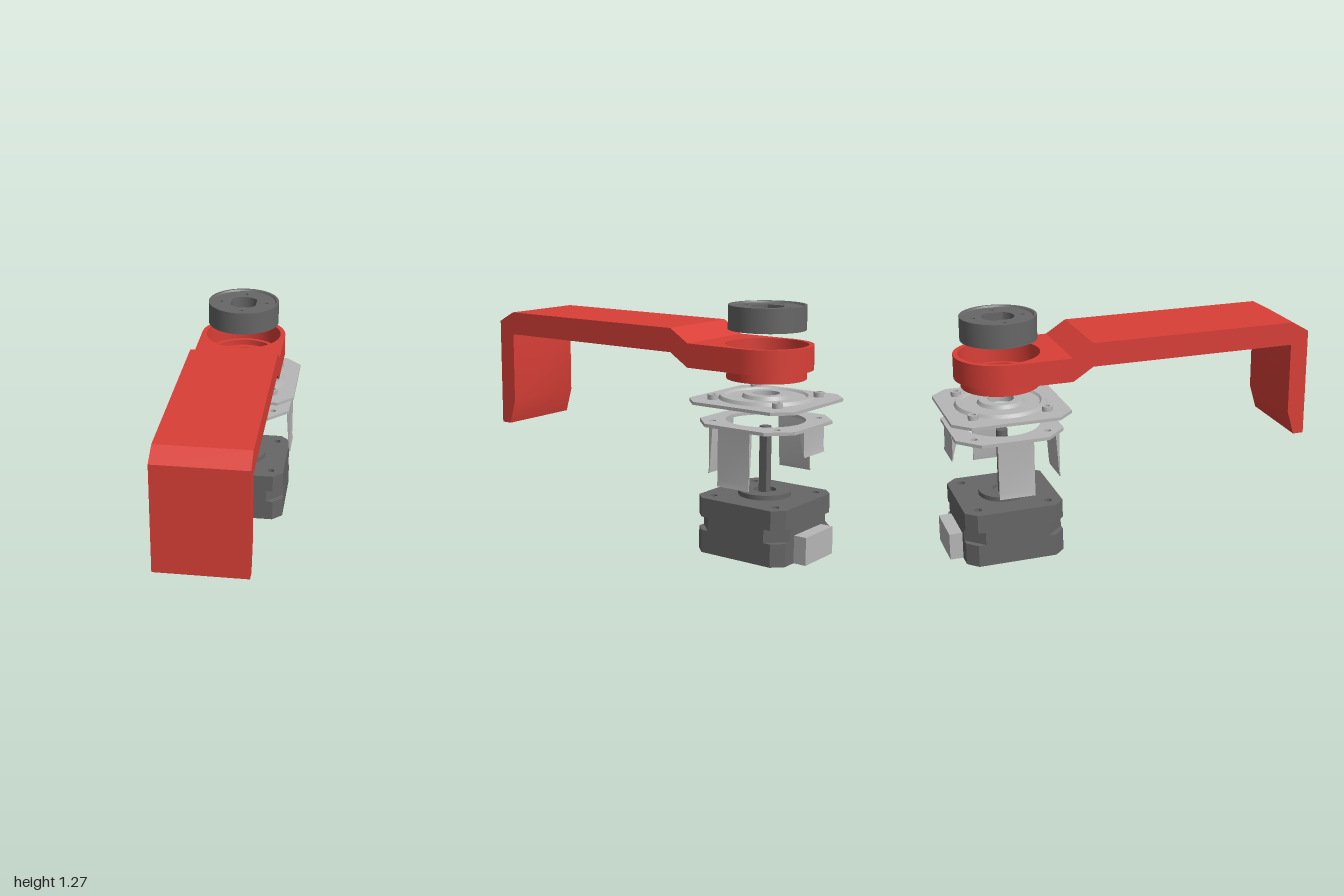
import * as THREE from 'three';
import { toCreasedNormals } from 'three/addons/utils/BufferGeometryUtils.js';

const material = (name, color) => {
  const m = new THREE.MeshStandardMaterial({ color });
  m.name = name;
  return m;
};

export function createModel() {
  const red = material('red', 0xd93f37);
  const dark = material('dark grey', 0x666666);
  const light = material('light grey', 0xb6b6b6);

  const model = new THREE.Group();
  model.name = 'motorMountAssembly';
  const stack = new THREE.Group(); // everything sharing the motor axis
  stack.name = 'motorStack';
  stack.position.z = -0.665;
  model.add(stack);

  const add = (parent, name, geometry, mat) => {
    const mesh = new THREE.Mesh(toCreasedNormals(geometry, 0.5), mat);
    mesh.name = name;
    parent.add(mesh);
    return mesh;
  };
  const circle = (r, x = 0, y = 0) => new THREE.Path().absarc(x, y, r, 0, Math.PI * 2, true);
  const corners = (d, r) => [[1, 1], [-1, 1], [-1, -1], [1, -1]].map(([a, b]) => circle(r, a * d, b * d));
  // Square with cut corners
  const octagon = (h, c, holes = []) => {
    const s = new THREE.Shape([
      [h, c - h], [h, h - c], [h - c, h], [c - h, h],
      [-h, h - c], [-h, c - h], [c - h, -h], [h - c, -h],
    ].map(([x, y]) => new THREE.Vector2(x, y)));
    s.holes.push(...holes);
    return s;
  };
  // Plan shape raised from y0 to y1
  const slab = (name, shape, y0, y1, mat) => add(stack, name,
    new THREE.ExtrudeGeometry(shape, { depth: y1 - y0, bevelEnabled: false, curveSegments: 32 })
      .rotateX(-Math.PI / 2).translate(0, y0, 0), mat);
  const lathe = (name, pts, mat, seg = 64) => add(stack, name,
    new THREE.LatheGeometry(pts.map(([r, y]) => new THREE.Vector2(r, y)), seg), mat);
  const sideProfile = (pts, width) => new THREE.ExtrudeGeometry(
    new THREE.Shape(pts.map(([x, y]) => new THREE.Vector2(x, y))),
    { depth: width, bevelEnabled: false }).translate(0, 0, -width / 2);

  // Motor body: two end blocks and a waist with deeper corner cuts
  slab('motorBase', octagon(0.265, 0.055, [...corners(0.19, 0.03), circle(0.05)]), 0, 0.12, dark);
  slab('motorWaist', octagon(0.265, 0.095), 0.12, 0.19, dark);
  slab('motorTop', octagon(0.265, 0.055, corners(0.19, 0.02)), 0.19, 0.29, dark);
  lathe('motorBoss', [[0.06, 0.29], [0.137, 0.29], [0.137, 0.315], [0.06, 0.315], [0.06, 0.295], [0, 0.295]], dark);

  // D-shaped shaft
  const shaft = new THREE.Shape();
  shaft.absarc(0, 0, 0.031, 0.8, Math.PI * 2 - 0.8, false);
  shaft.closePath();
  slab('shaft', shaft, 0.29, 0.65, dark);

  // Cable connector
  const connector = add(stack, 'connector', new THREE.BoxGeometry(0.26, 0.145, 0.07), light);
  connector.position.set(0, 0.0725, -0.3);

  // Sheet bracket with four folded legs, the rear one short
  slab('bracketPlate', octagon(0.288, 0.11, [...corners(0.195, 0.018), circle(0.205)]), 0.668, 0.685, light);
  for (let i = 0; i < 4; i++) {
    const rear = i === 1;
    const end = rear ? 0.54 : 0.375;
    const leg = add(stack, rear ? 'rearBracketLeg' : 'bracketLeg', sideProfile([
      [0.268, 0.685], [0.268, 0.63], [0.284, end + 0.03], [0.288, end],
      [0.294, end], [0.289, end + 0.03], [0.289, 0.685],
    ], 0.19), light);
    leg.rotation.y = i * Math.PI / 2;
  }

  // Adapter plate with a raised disc and corner screws
  slab('adapterPlate', octagon(0.317, 0.085, [circle(0.07), ...corners(0.195, 0.016)]), 0.78, 0.796, light);
  lathe('adapterDisc', [
    [0.07, 0.796], [0.245, 0.796], [0.235, 0.814], [0.215, 0.814], [0.205, 0.803],
    [0.125, 0.803], [0.115, 0.822], [0.07, 0.822], [0.07, 0.796],
  ], light);
  for (const x of [-0.195, 0.195]) for (const z of [-0.195, 0.195]) {
    const screw = lathe('adapterScrew', [
      [0, 0.796], [0.027, 0.796], [0.027, 0.822], [0.015, 0.822], [0.015, 0.81], [0, 0.81],
    ], light, 24);
    screw.position.set(x, 0, z);
  }

  // Arm head: rounded cup with a stepped floor
  const head = new THREE.Shape();
  head.moveTo(-0.24, -0.325);
  head.lineTo(0.24, -0.325);
  head.lineTo(0.24, 0);
  head.absarc(0, 0, 0.24, 0, Math.PI, false);
  head.closePath();
  head.holes.push(circle(0.213));
  slab('armHead', head, 0.95, 1.075, red);
  lathe('armHeadFloor', [
    [0.15, 0.9], [0.205, 0.9], [0.205, 0.95], [0.213, 0.95], [0.213, 0.957],
    [0.19, 0.957], [0.19, 0.925], [0.15, 0.925], [0.15, 0.9],
  ], red);

  // Long arm with its downturned foot
  add(model, 'arm', sideProfile([
    [1, 0.5], [1, 1.09], [0.9, 1.145], [-0.23, 1.145], [-0.34, 1.075], [-0.34, 0.95],
    [-0.23, 1.02], [0.9, 1.02], [0.9, 0.635], [0.94, 0.5],
  ], 0.48).rotateY(-Math.PI / 2), red);

  // Round cap: rim, drilled face and flatted hub socket
  lathe('capRim', [
    [0.18, 1.15], [0.2, 1.15], [0.2, 1.275], [0.187, 1.275], [0.18, 1.266], [0.18, 1.15],
  ], dark);
  const face = new THREE.Shape().absarc(0, 0, 0.181, 0, Math.PI * 2, false);
  const socket = new THREE.Path();
  socket.absarc(0, 0, 0.085, 0.55, Math.PI - 0.55, false);
  socket.absarc(0, 0, 0.085, Math.PI + 0.55, -0.55, false);
  socket.closePath();
  face.holes.push(socket);
  for (let i = 0; i < 4; i++) {
    const a = i * Math.PI / 2;
    face.holes.push(circle(0.011, 0.13 * Math.cos(a), 0.13 * Math.sin(a)));
  }
  slab('capFace', face, 1.2, 1.266, dark);
  lathe('capFloor', [
    [0.03, 1.15], [0.18, 1.15], [0.18, 1.2], [0.055, 1.2], [0.055, 1.215], [0.03, 1.215], [0.03, 1.15],
  ], dark);

  return model;
}
